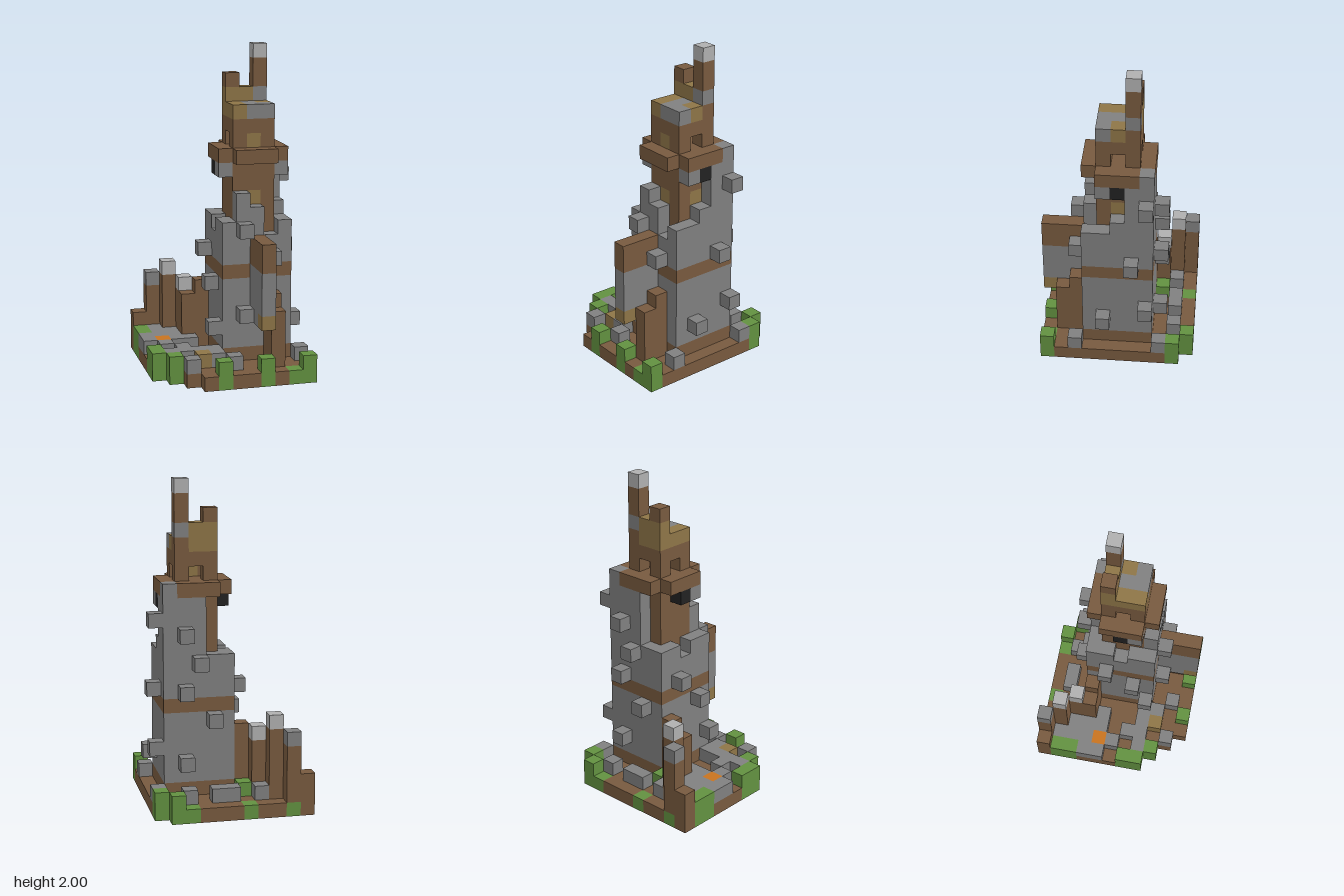
import * as THREE from 'three';
import { mergeGeometries } from 'three/addons/utils/BufferGeometryUtils.js';

const U = 2 / 23; // edge of one block; the model is 11 x 23 x 11 blocks

const mat = (name, hex) => {
  const m = new THREE.MeshStandardMaterial({ color: hex });
  m.name = name;
  return m;
};

export function createModel() {
  const M = {
    stone: mat('stone', 0x808080),
    wood: mat('wood', 0x785a3f),
    moss: mat('moss', 0x629140),
    plank: mat('plank', 0x8e7547),
    ash: mat('paleStone', 0xb0b0b0),
    fire: mat('fire', 0xc87320),
    dark: mat('darkWindow', 0x222222),
  };
  const cells = new Map();
  const key = (x, y, z) => x + ',' + y + ',' + z;
  // Fill an inclusive range of blocks; later fills replace earlier ones.
  const fill = (part, m, x0, x1, y0, y1, z0, z1) => {
    for (let x = x0; x <= x1; x++)
      for (let y = y0; y <= y1; y++)
        for (let z = z0; z <= z1; z++) cells.set(key(x, y, z), { part, m, x, y, z });
  };
  const column = (part, m, x, z, y0, y1 = y0) => fill(part, m, x, x, y0, y1, z, z);
  const clear = (x0, x1, y0, y1, z0, z1) => {
    for (let x = x0; x <= x1; x++)
      for (let y = y0; y <= y1; y++)
        for (let z = z0; z <= z1; z++) cells.delete(key(x, y, z));
  };

  // Ground slab with worn corners
  fill('ground', 'wood', 0, 10, 0, 0, 0, 10);
  clear(0, 0, 0, 0, 8, 10);
  clear(1, 1, 0, 0, 9, 10);
  clear(2, 2, 0, 0, 10, 10);
  clear(10, 10, 0, 0, 0, 0);
  fill('ground', 'moss', 5, 9, 0, 0, 3, 7);
  fill('ground', 'wood', 6, 8, 0, 0, 4, 6);

  // Low paving and loose rubble, one block above the slab
  fill('paving', 'stone', 0, 3, 1, 1, 3, 4);
  for (const [x, z] of [[1, 1], [1, 2], [2, 2], [3, 1], [1, 5], [2, 6], [1, 7], [2, 7], [3, 7],
    [4, 7], [4, 8], [2, 9], [5, 9], [10, 2], [10, 8], [5, 1], [6, 1], [8, 1]])
    column('rubble', 'stone', x, z, 1);
  column('crate', 'plank', 3, 8, 1);
  column('campfire', 'stone', 1, 4, 0);
  column('campfire', 'fire', 1, 4, 1);

  // Moss clumps around the rim
  for (const [x, z, h] of [[0, 1, 1], [0, 2, 1], [0, 6, 1], [0, 7, 1], [1, 8, 1], [4, 10, 1], [7, 10, 1],
    [9, 10, 0], [10, 10, 1], [10, 1, 1], [9, 0, 1], [8, 0, 0], [4, 0, 0], [4, 2, 1]])
    column('moss', 'moss', x, z, 0, h);

  // Timber posts with pale caps
  column('post', 'wood', 0, 0, 0, 2);
  column('post', 'moss', 1, 0, 0);
  column('post', 'wood', 1, 0, 1, 4);
  column('postCap', 'stone', 1, 0, 5);
  column('post', 'wood', 2, 1, 1, 5);
  column('postCap', 'ash', 2, 1, 6);
  column('post', 'wood', 3, 2, 1, 4);
  column('postCap', 'ash', 3, 2, 5);
  column('post', 'wood', 3, 3, 1, 4);
  column('post', 'wood', 4, 3, 1, 5);
  column('post', 'wood', 8, 8, 1, 5);
  column('post', 'wood', 8, 9, 1, 4);

  // Tower shaft: plinth, stone, timber band, stone
  fill('plinth', 'wood', 5, 9, 1, 1, 3, 7);
  fill('tower', 'stone', 5, 9, 2, 9, 3, 7);
  fill('towerBand', 'wood', 5, 9, 7, 7, 3, 7);

  // Ruined upper walls of uneven height: x, z, top block
  for (const [x, z, top] of [[5, 3, 10], [6, 3, 10], [7, 3, 14], [8, 3, 14], [9, 3, 15],
    [5, 4, 10], [5, 5, 9], [5, 6, 10], [9, 4, 14], [9, 5, 11], [9, 6, 10],
    [5, 7, 10], [6, 7, 12], [7, 7, 11], [9, 7, 10]])
    column('upperWall', 'stone', x, z, 10, top);

  // Timber core and lookout room, open through the middle
  fill('core', 'wood', 6, 8, 10, 17, 4, 6);
  clear(6, 8, 16, 16, 5, 5);
  clear(7, 7, 16, 16, 4, 4);
  column('coreShutter', 'plank', 7, 6, 12);
  column('coreShutter', 'plank', 8, 5, 12);
  column('coreShutter', 'plank', 7, 6, 16);

  // Cross-shaped balcony with dark windows beneath
  fill('balcony', 'wood', 6, 8, 15, 15, 3, 7);
  fill('balcony', 'wood', 5, 9, 15, 15, 4, 6);
  for (const x of [5, 9]) {
    column('window', 'dark', x, 5, 14);
    column('windowFrame', 'stone', x, 6, 14);
  }

  // Patchwork roof
  fill('roof', 'plank', 6, 6, 18, 18, 4, 6);
  fill('roof', 'stone', 7, 8, 18, 18, 5, 6);
  column('roof', 'plank', 8, 5, 18);
  column('roof', 'plank', 7, 4, 18, 19);
  column('roof', 'plank', 6, 4, 19);
  column('roofPost', 'wood', 6, 4, 20);

  // Chimney
  column('chimney', 'wood', 8, 4, 18);
  column('chimney', 'stone', 8, 4, 19);
  column('chimney', 'wood', 8, 4, 20, 21);
  column('chimney', 'ash', 8, 4, 22);

  // Front buttress
  fill('buttress', 'stone', 7, 7, 4, 7, 8, 10);
  fill('buttress', 'wood', 7, 7, 8, 9, 8, 10);
  column('buttress', 'plank', 7, 10, 4);

  // Single stones sticking out of the walls: x, y, z
  for (const [x, y, z] of [[10, 13, 3], [10, 8, 4], [10, 4, 3], [10, 3, 6],
    [8, 12, 2], [7, 10, 2], [8, 8, 2], [6, 6, 2], [8, 3, 2],
    [6, 10, 8], [8, 8, 8], [6, 4, 8], [4, 8, 4], [4, 6, 6], [4, 3, 7]])
    column('wallStone', 'stone', x, z, y);

  // Build only the exposed faces, one mesh for each part and colour
  const sides = [
    [1, 0, 0, 0, Math.PI / 2], [-1, 0, 0, 0, -Math.PI / 2], [0, 1, 0, -Math.PI / 2, 0],
    [0, -1, 0, Math.PI / 2, 0], [0, 0, 1, 0, 0], [0, 0, -1, 0, Math.PI],
  ];
  const buckets = new Map();
  for (const { part, m, x, y, z } of cells.values())
    for (const [dx, dy, dz, rx, ry] of sides) {
      if (cells.has(key(x + dx, y + dy, z + dz))) continue;
      const face = new THREE.PlaneGeometry(U, U);
      face.rotateX(rx).rotateY(ry);
      face.translate((x - 5 + dx / 2) * U, (y + 0.5 + dy / 2) * U, (z - 5 + dz / 2) * U);
      const id = part + '|' + m;
      if (!buckets.has(id)) buckets.set(id, []);
      buckets.get(id).push(face);
    }

  const group = new THREE.Group();
  group.name = 'ruinedTower';
  for (const [id, faces] of buckets) {
    const [part, m] = id.split('|');
    const mesh = new THREE.Mesh(mergeGeometries(faces), M[m]);
    mesh.name = part;
    group.add(mesh);
  }
  return group;
}
